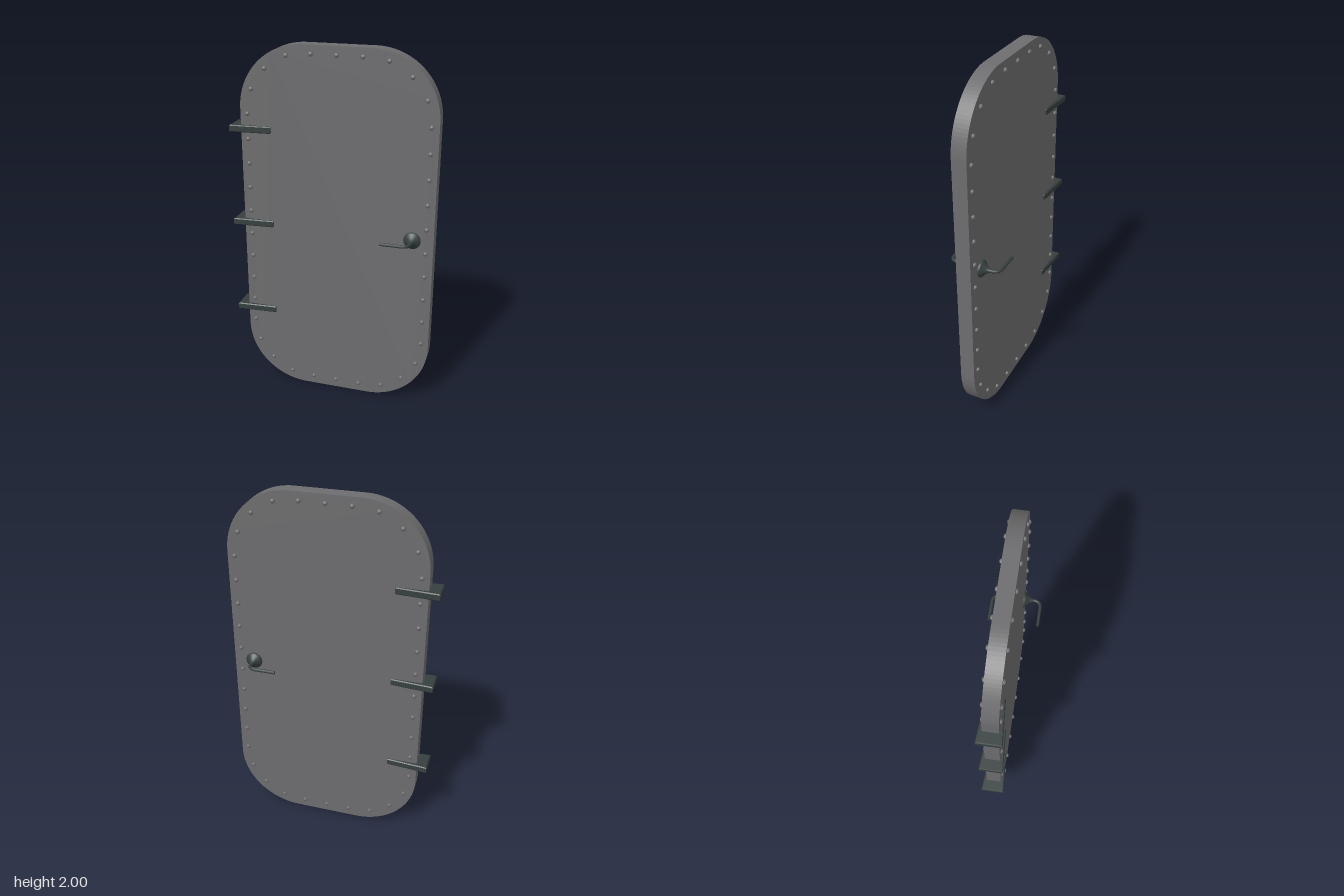
import * as THREE from 'three';

const steel = new THREE.MeshStandardMaterial({ color: 0x6d6d6f });
steel.name = 'grey steel';
const iron = new THREE.MeshStandardMaterial({ color: 0x36403f });
iron.name = 'dark iron';

const CX = 0.025; // door centre in x
const HALF = 0.04; // half thickness of the door

function add(parent, name, geometry, material) {
  const mesh = new THREE.Mesh(geometry, material);
  mesh.name = name;
  parent.add(mesh);
  return mesh;
}

// Slab with rounded corners
function doorGeometry() {
  const w = 0.535, h = 1, r = 0.35;
  const s = new THREE.Shape();
  s.absarc(w - r, h - r, r, 0, Math.PI / 2);
  s.absarc(r - w, h - r, r, Math.PI / 2, Math.PI);
  s.absarc(r - w, r - h, r, Math.PI, Math.PI * 1.5);
  s.absarc(w - r, r - h, r, Math.PI * 1.5, Math.PI * 2);
  return new THREE.ExtrudeGeometry(s, { depth: HALF * 2, bevelEnabled: false, curveSegments: 14 })
    .translate(CX, 1, -HALF);
}

// Wedge that clamps both faces of the door, with softened edges
function hingeGeometry() {
  const b = 0.005;
  const s = new THREE.Shape([
    new THREE.Vector2(-0.57 + b, -0.065 + b),
    new THREE.Vector2(-0.34 - b, -0.048 + b),
    new THREE.Vector2(-0.34 - b, 0.048 - b),
    new THREE.Vector2(-0.57 + b, 0.065 - b),
  ]);
  return new THREE.ExtrudeGeometry(s, {
    depth: 0.038 - 2 * b, bevelThickness: b, bevelSize: b, bevelSegments: 1,
  }).translate(0, 0, b - 0.019).rotateX(-Math.PI / 2);
}

// Flared rose with a bent lever pointing to the hinge side
function createHandle() {
  const handle = new THREE.Group();
  const profile = [[0.046, 0.035], [0.047, 0.046], [0.042, 0.052], [0.03, 0.062], [0.019, 0.073], [0.012, 0.085], [0.009, 0.1]]
    .map(([r, z]) => new THREE.Vector2(r, z));
  add(handle, 'handleRose', new THREE.LatheGeometry(profile, 24).rotateX(Math.PI / 2), iron);

  const path = new THREE.CurvePath();
  const v = (x, z) => new THREE.Vector3(x, 0, z);
  path.add(new THREE.LineCurve3(v(0, 0.07), v(0, 0.098)));
  path.add(new THREE.CubicBezierCurve3(v(0, 0.098), v(0, 0.122), v(-0.014, 0.138), v(-0.042, 0.138)));
  path.add(new THREE.LineCurve3(v(-0.042, 0.138), v(-0.155, 0.138)));
  add(handle, 'handleLever', new THREE.TubeGeometry(path, 32, 0.009, 10), iron);
  add(handle, 'leverEnd', new THREE.CircleGeometry(0.009, 10).rotateY(-Math.PI / 2), iron)
    .position.set(-0.155, 0, 0.138);
  return handle;
}

export function createModel() {
  const model = new THREE.Group();
  model.name = 'rivetedDoor';
  add(model, 'doorPanel', doorGeometry(), steel);

  // Domed rivets around both faces, mirrored from one quarter
  const rivet = new THREE.LatheGeometry(
    [[0.0125, -0.005], [0.0125, 0.006], [0.009, 0.011], [0, 0.0135]].map(([r, y]) => new THREE.Vector2(r, y)), 10
  ).rotateX(Math.PI / 2);
  const quarter = [[0, 0.951], [0.137, 0.951], [0.271, 0.937], [0.39, 0.865], [0.469, 0.754],
    [0.495, 0.62], [0.495, 0.482], [0.495, 0.344], [0.495, 0.206], [0.495, 0.069]];
  const rivets = new THREE.Group();
  rivets.name = 'rivets';
  model.add(rivets);
  for (const [x, y] of quarter) {
    for (const sx of x === 0 ? [1] : [1, -1]) {
      for (const sy of [1, -1]) {
        for (const sz of [1, -1]) {
          const m = add(rivets, 'rivet', rivet, steel);
          m.position.set(CX + sx * x, 1.003 + sy * y, sz * HALF);
          if (sz < 0) m.rotation.y = Math.PI;
        }
      }
    }
  }

  // Three hinges on the right edge
  const hinge = hingeGeometry();
  for (const y of [0.463, 1.002, 1.541]) add(model, 'hinge', hinge, iron).position.y = y;

  // A handle on each face
  for (const side of ['front', 'back']) {
    const handle = createHandle();
    handle.name = side + 'Handle';
    handle.position.set(0.445, 1.003, 0);
    if (side === 'back') handle.rotation.x = Math.PI;
    model.add(handle);
  }
  return model;
}
